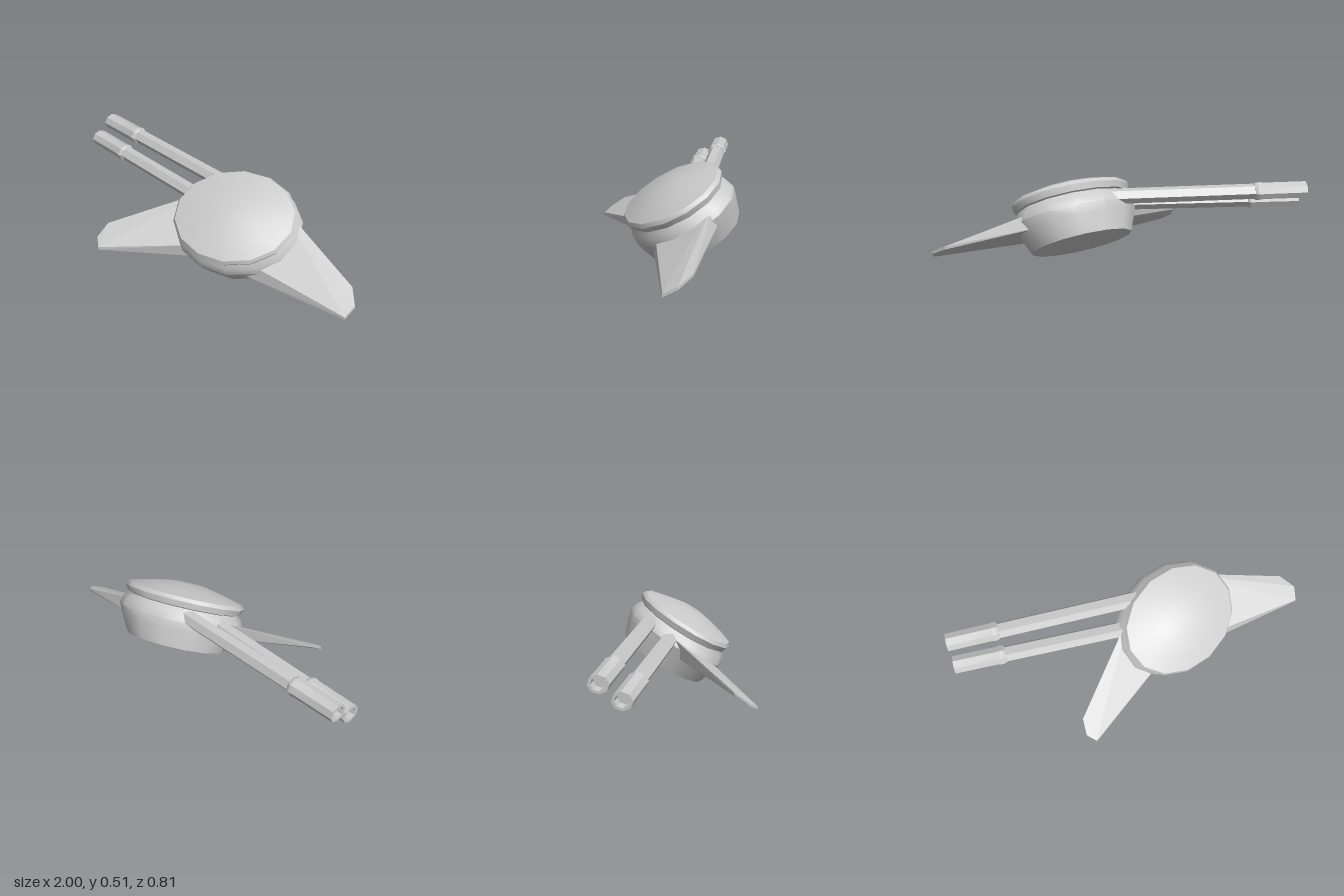
import * as THREE from 'three';
import { toCreasedNormals } from 'three/addons/utils/BufferGeometryUtils.js';
import { ConvexGeometry } from 'three/addons/geometries/ConvexGeometry.js';

const material = new THREE.MeshStandardMaterial({ color: 0xcccccc });
const V = (x, y, z) => new THREE.Vector3(x, y, z);

function part(name, geometry) {
  const mesh = new THREE.Mesh(geometry, material);
  mesh.name = name;
  return mesh;
}

// Faceted turned shape; profile is [radius, height] from bottom to top.
// stretch(height) widens it along x into an oval.
function turned(profile, sides, crease, stretch = () => 1) {
  const pts = profile.map(([r, h]) => new THREE.Vector2(r, h));
  const geometry = new THREE.LatheGeometry(pts, sides);
  const pos = geometry.attributes.position;
  for (let i = 0; i < pos.count; i++) pos.setX(i, pos.getX(i) * stretch(pos.getY(i)));
  return toCreasedNormals(geometry, crease);
}

// Slightly flattened gun running from the hull to its tip
function gun(name, root, tip) {
  const group = new THREE.Group();
  group.name = name;
  const length = root.distanceTo(tip);
  const m = length - 0.27;
  const barrel = part('barrel', turned([[0, 0], [0.041, 0], [0.041, m + 0.03]], 6, 0.4));
  const muzzle = part('muzzle', turned([
    [0, m - 0.015], [0.043, m - 0.015], [0.05, m], [0.05, m + 0.02],
    [0.047, m + 0.03], [0.047, length], [0.033, length], [0.033, length - 0.05], [0, length - 0.05],
  ], 8, 0.4));
  group.add(barrel, muzzle);
  group.position.copy(root);
  group.quaternion.setFromUnitVectors(V(0, 1, 0), tip.clone().sub(root).normalize());
  group.scale.z = 1.13;
  return group;
}

export function createModel() {
  const model = new THREE.Group();
  model.name = 'turret';

  // Tilted hull: its axis leans forward and slightly to the left
  const up = V(0.16, 0.857, 0.495).normalize();
  const side = V(1, 0, 0).addScaledVector(up, -up.x).normalize();
  const front = side.clone().cross(up);
  const hull = new THREE.Group();
  hull.name = 'hull';
  hull.quaternion.setFromRotationMatrix(new THREE.Matrix4().makeBasis(side, up, front));
  hull.position.set(0.205, 0.134, -0.18);

  // Oval body and cap, long axis turned towards the rear left
  const body = part('body', turned([
    [0, 0], [0.257, 0], [0.285, 0.1], [0.296, 0.15], [0.283, 0.19], [0.25, 0.235], [0, 0.235],
  ], 14, 0.6, (h) => 1.1 + 0.11 * Math.min(1, h / 0.15)));
  const cap = part('domedCap', turned([
    [0, 0.215], [0.245, 0.215], [0.272, 0.226], [0.284, 0.258], [0.273, 0.279],
    [0.19, 0.305], [0.087, 0.331], [0, 0.333],
  ], 14, 0.5, () => 1.21));
  body.rotation.y = cap.rotation.y = 0.42;
  hull.add(body, cap);
  model.add(hull);

  // Wings: thick at the root inside the body, thin at the clipped tip
  model.add(part('leftWing', new ConvexGeometry([
    V(0.35, 0.18, 0.03), V(0.35, 0.395, -0.29), V(0.35, 0.09, 0.04), V(0.35, 0.3, -0.33),
    V(0.99, 0.082, -0.06), V(0.99, 0.065, -0.06), V(1, 0.12, -0.13), V(1, 0.105, -0.13),
    V(0.93, 0.165, -0.2), V(0.93, 0.15, -0.2),
  ])));
  model.add(part('rightWing', new ConvexGeometry([
    V(0.1, 0.17, 0.09), V(-0.02, 0.37, -0.14), V(0.1, 0.085, 0.075), V(0, 0.25, -0.14),
    V(-0.375, 0.082, 0.4), V(-0.375, 0.065, 0.4), V(-0.42, 0.115, 0.36), V(-0.42, 0.1, 0.36),
    V(-0.415, 0.17, 0.28), V(-0.415, 0.155, 0.28),
  ])));

  // Pair of long guns
  model.add(gun('rearGun', V(0.08, 0.398, -0.222), V(-1, 0.401, -0.288)));
  model.add(gun('frontGun', V(0.02, 0.328, -0.096), V(-1, 0.325, -0.181)));

  return model;
}
